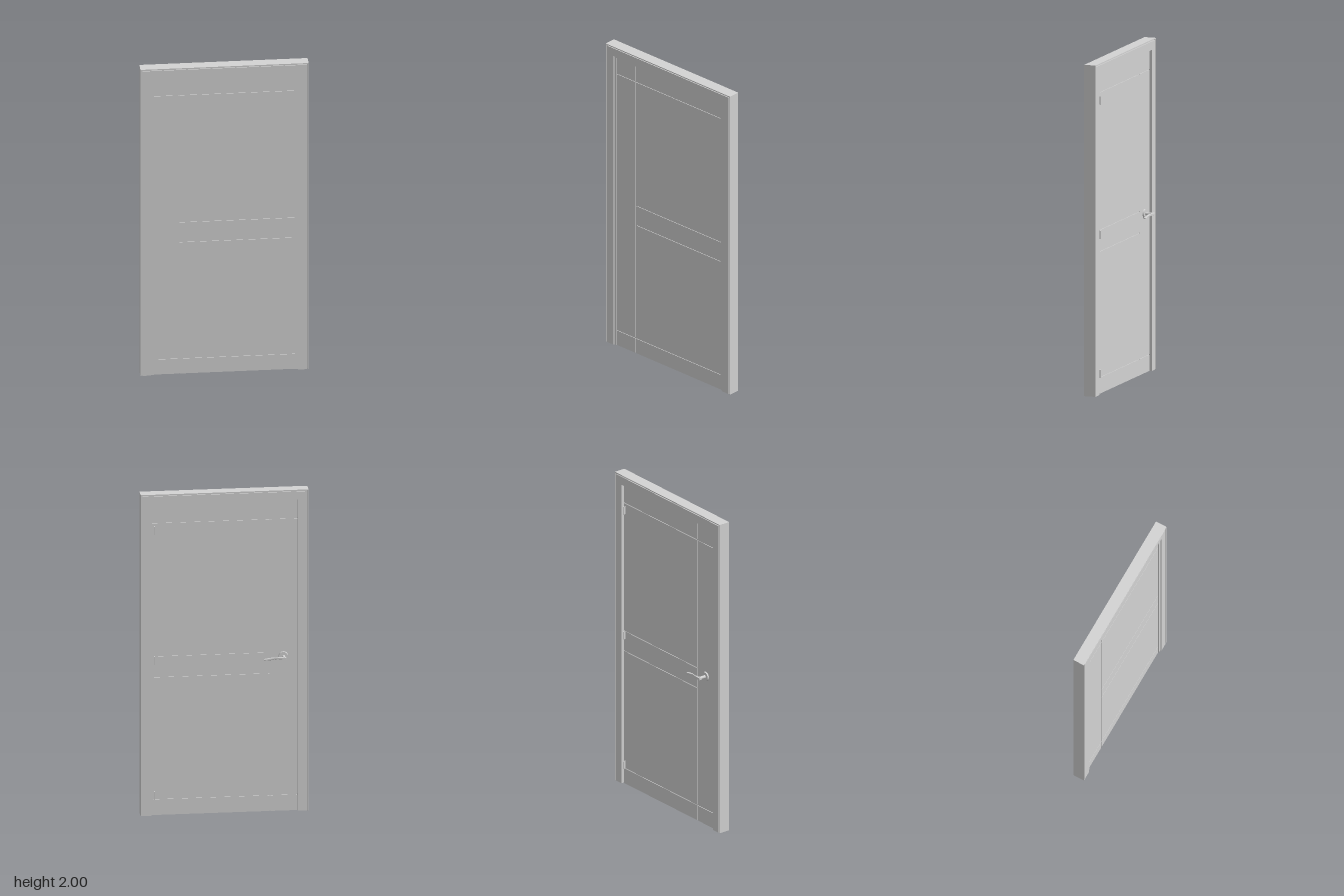
import * as THREE from 'three';
import { mergeVertices, toCreasedNormals } from 'three/addons/utils/BufferGeometryUtils.js';

const BACK = -0.0145, FRONT = 0.0575;         // depth of the frame
const LEAF_BACK = 0.001, LEAF_FRONT = 0.045;  // the leaf is set in from both faces
const HALF = 0.502, OPEN = 0.439, HEAD = 1.938;

export function createModel() {
  const door = new THREE.Group();
  door.name = 'door';
  const grey = new THREE.MeshStandardMaterial({ color: 0xd3d3d3 });
  grey.name = 'light grey';

  function add(parent, name, geometry) {
    const mesh = new THREE.Mesh(geometry, grey);
    mesh.name = name;
    parent.add(mesh);
    return mesh;
  }
  // box given by its limits on each axis
  function box(parent, name, x0, x1, y0, y1, z0, z1) {
    const mesh = add(parent, name, new THREE.BoxGeometry(x1 - x0, y1 - y0, z1 - z0));
    mesh.position.set((x0 + x1) / 2, (y0 + y1) / 2, (z0 + z1) / 2);
  }
  function group(name) {
    const g = new THREE.Group();
    g.name = name;
    door.add(g);
    return g;
  }
  // arch: two legs and a head, extruded through z
  function arch(parent, name, x, top, inX, inTop, z0, z1) {
    const pts = [[-x, 0], [-inX, 0], [-inX, inTop], [inX, inTop], [inX, 0], [x, 0], [x, top], [-x, top]];
    const shape = new THREE.Shape(pts.map(p => new THREE.Vector2(...p)));
    const mesh = add(parent, name, new THREE.ExtrudeGeometry(shape, { depth: z1 - z0, bevelEnabled: false }));
    mesh.position.z = z0;
  }

  // frame: core, outer rim and casings with a fine groove between them
  const frame = group('frame');
  const d = 0.006;
  arch(frame, 'frameCore', HALF - 0.002, 1.998, OPEN, HEAD, BACK + d, FRONT - d);
  arch(frame, 'frameRim', HALF, 2, HALF - 0.005, 1.995, BACK, FRONT);
  arch(frame, 'frontCasing', HALF - 0.011, 1.989, OPEN, HEAD, FRONT - d, FRONT);
  arch(frame, 'backCasing', HALF - 0.011, 1.989, OPEN, HEAD, BACK, BACK + d);
  // stop that the leaf closes against
  arch(frame, 'doorStop', OPEN, HEAD, 0.421, 1.927, LEAF_FRONT, LEAF_FRONT + 0.005);

  // leaf: core with raised fields on both faces, grooves left between
  const leaf = group('leaf');
  const x0 = -OPEN + 0.003, x1 = OPEN - 0.003, y1 = HEAD - 0.003;
  const split = -0.272, g = 0.003, relief = 0.004;
  box(leaf, 'leafCore', x0, x1, 0, y1, LEAF_BACK + relief, LEAF_FRONT - relief);
  const columns = [
    ['lockStile', x0, split - g, [0, 0.10, 1.82, y1]],
    ['panel', split + g, x1, [0, 0.10, 0.86, 0.99, 1.82, y1]],
  ];
  for (const [name, a, b, rows] of columns) {
    for (let i = 0; i < rows.length - 1; i++) {
      const low = rows[i] + (i > 0 ? g : 0);
      const high = rows[i + 1] - (i < rows.length - 2 ? g : 0);
      box(leaf, name + 'Front', a, b, low, high, LEAF_FRONT - relief, LEAF_FRONT);
      box(leaf, name + 'Back', a, b, low, high, LEAF_BACK, LEAF_BACK + relief);
    }
  }

  // hinges: barrel with a small plate to the leaf
  const hinges = group('hinges');
  for (const y of [0.125, 0.965, 1.775]) {
    add(hinges, 'hingeBarrel', new THREE.CylinderGeometry(0.004, 0.004, 0.05, 16)).position.set(0.42, y, BACK);
    box(hinges, 'hingePlate', 0.418, 0.422, y - 0.025, y + 0.025, BACK, LEAF_BACK);
  }

  // handle on the back: rosette, neck and lever
  const handle = group('handle');
  handle.position.set(-0.352, 0.963, LEAF_BACK);
  const rose = add(handle, 'rosette', new THREE.CylinderGeometry(0.027, 0.029, 0.009, 32));
  rose.rotation.x = -Math.PI / 2;
  rose.position.z = -0.0045;
  const neck = add(handle, 'neck', new THREE.CylinderGeometry(0.009, 0.01, 0.052, 24));
  neck.rotation.x = -Math.PI / 2;
  neck.position.z = -0.026;

  // lever outline seen from above, extruded in height and bent gently down
  const s = new THREE.Shape();
  s.moveTo(-0.01, 0.042);
  s.lineTo(-0.012, 0.06);
  s.splineThru([[0.01, 0.06], [0.06, 0.056], [0.118, 0.055]].map(p => new THREE.Vector2(...p)));
  s.quadraticCurveTo(0.122, 0.048, 0.118, 0.041);
  s.splineThru([[0.06, 0.046], [0.02, 0.049], [0.009, 0.046], [0.007, 0.042]].map(p => new THREE.Vector2(...p)));
  s.closePath();
  let lever = new THREE.ExtrudeGeometry(s, {
    depth: 0.008, curveSegments: 10, bevelSize: 0.002, bevelThickness: 0.003, bevelSegments: 3,
  });
  lever.translate(0, 0, -0.004);
  lever.rotateX(-Math.PI / 2);
  const p = lever.attributes.position;
  for (let i = 0; i < p.count; i++) {
    const t = Math.max(0, p.getX(i)) / 0.12;
    p.setY(i, p.getY(i) * (1 - 0.4 * t) + 0.003 * Math.sin(t * Math.PI) - 0.006 * t * t);
  }
  lever.deleteAttribute('uv');
  lever.deleteAttribute('normal');
  lever = toCreasedNormals(mergeVertices(lever, 1e-5), 0.9);
  add(handle, 'lever', lever);
  return door;
}
